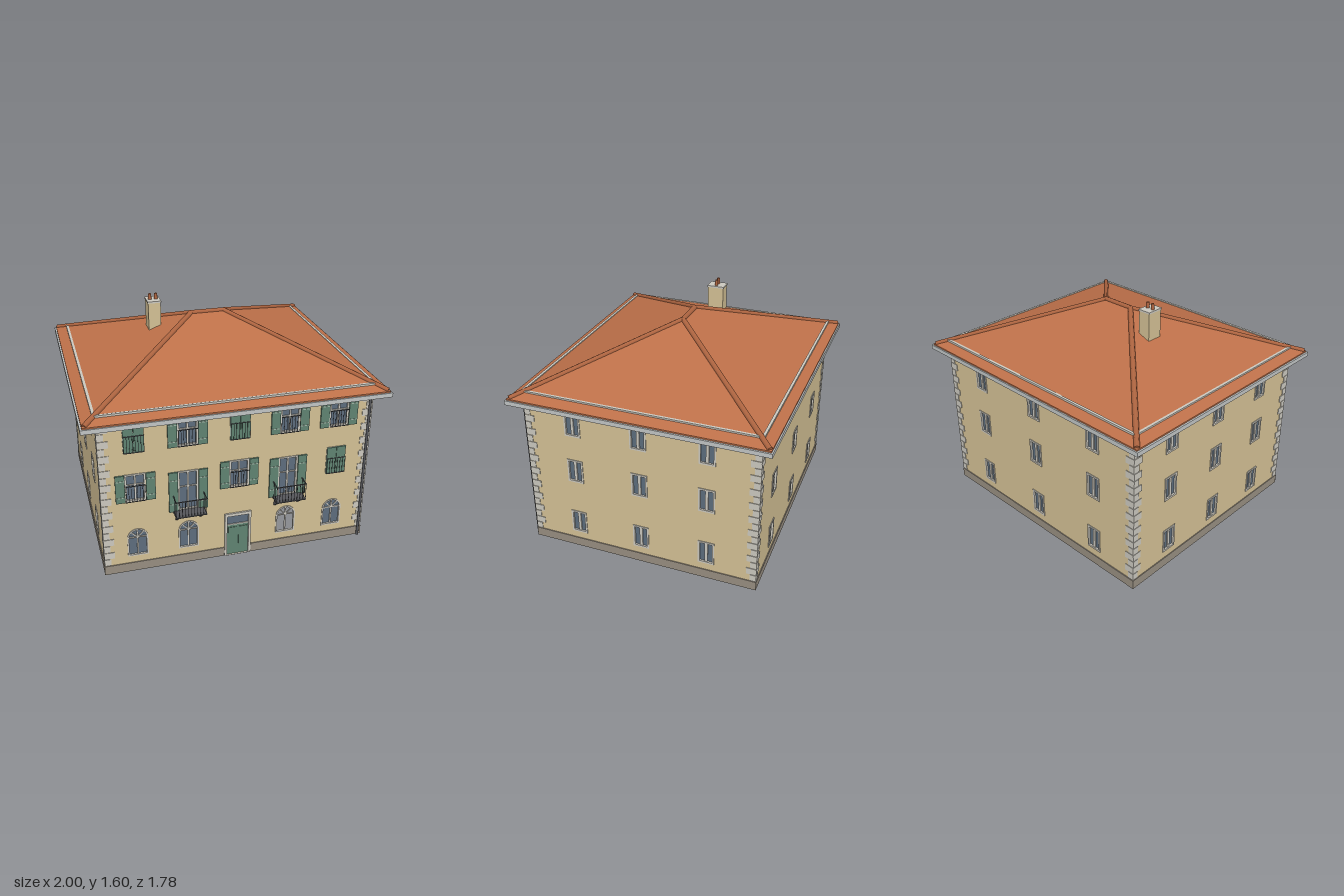
import * as THREE from 'three';

const paint = (name, color) => {
  const m = new THREE.MeshStandardMaterial({ color });
  m.name = name;
  return m;
};
const W = 0.9, ZC = -0.005, D = 0.8, TOP = 1.1;   // half width, centre z, half depth, wall top
const EAVE = 1.135, RIDGE = 1.472, RX = 0.115;

export function createModel() {
  const wallMat = paint('wall plaster', 0xd2bf94), trim = paint('pale stone', 0xcac7be);
  const roofMat = paint('roof tile', 0xbd7049), capMat = paint('ridge tile', 0xad6440);
  const plinthMat = paint('plinth stone', 0x968d80), glass = paint('glass', 0x5c6c7c);
  const green = paint('shutter green', 0x5f8270), paleGreen = paint('pale green', 0x9db3a4);
  const metal = paint('dark iron', 0x55565a), zinc = paint('zinc', 0xc0c4c4);
  roofMat.side = THREE.DoubleSide;

  const house = new THREE.Group();
  house.name = 'house';

  function add(parent, name, geo, mat, x = 0, y = 0, z = 0) {
    const m = new THREE.Mesh(geo, mat);
    m.name = name;
    m.position.set(x, y, z);
    parent.add(m);
    return m;
  }
  const box = (p, name, mat, w, h, d, x, y, z) => add(p, name, new THREE.BoxGeometry(w, h, d), mat, x, y, z);

  // Outline of an opening, optionally with a round arch on top
  function outline(x, y, w, h, arch, inset = 0) {
    const r = w / 2 - inset, b = y + inset, t = y + h - inset;
    const pts = [[x - r, b], [x + r, b]];
    if (arch) {
      for (let i = 0; i <= 16; i++) {
        const a = Math.PI * i / 16;
        pts.push([x + r * Math.cos(a), t - r + r * Math.sin(a)]);
      }
    } else pts.push([x + r, t], [x - r, t]);
    return pts.map(p => new THREE.Vector2(...p));
  }
  const extrude = (shape, depth) => new THREE.ExtrudeGeometry(shape, { depth, bevelEnabled: false });

  // One facade in local space: x along the wall, z outward
  function facade(name, half, angle, x, z) {
    const g = new THREE.Group();
    g.name = name;
    g.rotation.y = angle;
    g.position.set(x, 0, z);
    house.add(g);
    return { g, half, holes: [] };
  }
  function finishWall(f) {
    const s = new THREE.Shape(outline(0, 0, f.half * 2, TOP));
    s.holes = f.holes.map(p => new THREE.Path(p));
    add(f.g, 'wall', extrude(s, 0.012), wallMat, 0, 0, -0.012);
    // Corner stones, alternately long and short
    const n = 20, h = (1.095 - 0.068) / n;
    for (const side of [-1, 1]) for (let i = 0; i < n; i++) {
      const w = i % 2 ? 0.068 : 0.042;
      box(f.g, 'cornerStone', trim, w, h - 0.004, 0.008, side * (f.half - w / 2 + 0.003), 0.068 + (i + 0.5) * h, 0);
    }
  }

  function windowUnit(f, x, y, w, h, { arch = false, glazed = true, border = 0.011, bar = 0.012, transom = 0 } = {}) {
    f.holes.push(outline(x, y, w, h, arch));
    const ring = new THREE.Shape(outline(x, y, w, h, arch));
    ring.holes.push(new THREE.Path(outline(x, y, w, h, arch, border)));
    add(f.g, 'windowFrame', extrude(ring, 0.016), trim, 0, 0, -0.011);
    if (glazed) add(f.g, 'pane', extrude(new THREE.Shape(outline(x, y, w, h, arch, 0.002)), 0.003), glass, 0, 0, -0.011);
    const tall = arch ? h - w / 2 : h;
    box(f.g, 'mullion', trim, bar, h - 0.01, 0.008, x, y + h / 2, -0.004);
    if (transom || arch) box(f.g, 'transom', trim, w - 0.01, 0.008, 0.007, x, y + (arch ? tall : h * transom), -0.004);
    if (arch) for (const s of [-1, 1]) {
      const r = w / 2, c = Math.SQRT1_2 * r / 2;
      box(f.g, 'fanBar', trim, 0.007, r * 0.95, 0.006, x + s * c, y + tall + c, -0.004).rotation.z = -s * Math.PI / 4;
    }
  }

  function shutter(f, x, y, w, h) {
    box(f.g, 'shutter', green, w, h, 0.01, x, y + h / 2, 0.007);
    for (const k of [0.2, 0.8]) box(f.g, 'shutterBatten', paleGreen, w, 0.006, 0.003, x, y + h * k, 0.0125);
  }
  function windowRail(f, x, y) {
    for (const dy of [0.006, 0.12]) box(f.g, 'windowRail', metal, 0.13, 0.004, 0.004, x, y + dy, 0.02);
    for (let i = 0; i < 8; i++) box(f.g, 'railBar', metal, 0.0025, 0.114, 0.0025, x - 0.063 + i * 0.018, y + 0.063, 0.02);
  }

  // Front facade
  const front = facade('frontFacade', W, 0, 0, ZC + D);
  const cols = [-0.68, -0.34, 0, 0.335, 0.67];
  function shutteredWindow(x, y, h, closed, rail) {
    windowUnit(front, x, y, 0.132, h, { transom: 0.6 });
    if (closed) for (const s of [-1, 1]) box(front.g, 'closedShutter', green, 0.064, h, 0.01, x + s * 0.033, y + h / 2, 0.007);
    else for (const s of [-1, 1]) shutter(front, x + s * 0.098, y, 0.06, h);
    if (rail) windowRail(front, x, y);
  }
  cols.forEach((x, i) => {
    shutteredWindow(x, 0.893, 0.195, i === 0 || i === 2, true);
    const balcony = i === 1 || i === 3;
    if (balcony) {
      shutteredWindow(x, 0.417, 0.294, false, false);
      addBalcony(x);
    } else shutteredWindow(x, 0.54, 0.198, i === 4, true);
    if (i !== 2) windowUnit(front, x, 0.118, 0.136, 0.208, { arch: true, glazed: i !== 3, border: 0.01, bar: 0.01 });
  });

  // Balcony: thin floor, iron railing and two wedge brackets
  function addBalcony(x) {
    const b = new THREE.Group();
    b.name = 'balcony';
    b.position.x = x;
    front.g.add(b);
    box(b, 'balconyFloor', metal, 0.205, 0.007, 0.092, 0, 0.42, 0.047);
    box(b, 'frontRail', metal, 0.205, 0.006, 0.005, 0, 0.538, 0.091);
    for (let i = 0; i <= 10; i++) box(b, 'baluster', metal, 0.003, 0.115, 0.003, -0.1 + i * 0.02, 0.48, 0.091);
    for (const s of [-1, 1]) {
      box(b, 'sideRail', metal, 0.005, 0.006, 0.09, s * 0.1, 0.538, 0.047);
      for (const z of [0.004, 0.033, 0.062]) box(b, 'sideBaluster', metal, 0.003, 0.115, 0.003, s * 0.1, 0.48, z);
      const wedge = new THREE.Shape([[0, 0.345], [0, 0.4], [-0.068, 0.4]].map(p => new THREE.Vector2(...p)));
      add(b, 'bracket', extrude(wedge, 0.014).rotateY(Math.PI / 2), metal, s * 0.08 - 0.007, 0, 0);
    }
  }

  // Entrance door with glazed transom
  front.holes.push(outline(-0.003, 0.001, 0.17, 0.325));
  const doorRing = new THREE.Shape(outline(-0.003, 0, 0.182, 0.335));
  doorRing.holes.push(new THREE.Path(outline(-0.003, 0.001, 0.15, 0.312)));
  add(front.g, 'doorFrame', extrude(doorRing, 0.022), trim, 0, 0, -0.01);
  box(front.g, 'door', green, 0.15, 0.24, 0.008, -0.003, 0.121, -0.006);
  for (const s of [-1, 1]) box(front.g, 'doorPanel', green, 0.058, 0.2, 0.004, -0.003 + s * 0.036, 0.12, 0);
  box(front.g, 'doorTransom', trim, 0.15, 0.008, 0.012, -0.003, 0.243, -0.003);
  box(front.g, 'doorLight', glass, 0.15, 0.07, 0.004, -0.003, 0.279, -0.006);
  finishWall(front);

  // Side and back facades share a three by three window layout
  const others = [
    [facade('leftFacade', D, Math.PI / 2, W, ZC), 0.46],
    [facade('rightFacade', D, -Math.PI / 2, -W, ZC), 0.46],
    [facade('backFacade', W, Math.PI, 0, ZC - D), 0.55],
  ];
  for (const [f, gap] of others) {
    for (const x of [-gap, 0, gap]) for (const y of [0.12, 0.535, 0.89])
      windowUnit(f, x, y, 0.112, 0.174, { border: 0.013, bar: 0.02 });
    box(f.g, 'plinth', plinthMat, f.half * 2 + 0.01, 0.066, 0.008, 0, 0.033, 0.002);
    finishWall(f);
  }
  for (const s of [-1, 1]) box(front.g, 'plinth', plinthMat, 0.811, 0.066, 0.008, s * 0.4995 - 0.0015, 0.033, 0.002);

  // Downpipe on the front corner
  add(house, 'downpipe', new THREE.CylinderGeometry(0.009, 0.009, 1.1, 10), metal, 0.88, 0.55, ZC + D + 0.013);

  // Eaves: horizontal rings around the walls
  function ring(name, mat, hx, hz, y, h) {
    const s = new THREE.Shape(outline(0, -hz, hx * 2, hz * 2));
    s.holes.push(new THREE.Path(outline(0, -D + 0.005, W * 2 - 0.01, D * 2 - 0.01)));
    add(house, name, extrude(s, h).rotateX(-Math.PI / 2), mat, 0, y, ZC - 0.0025);
  }
  ring('eavesCornice', zinc, 1, 0.882, 1.095, 0.03);
  ring('roofEdge', roofMat, 0.988, 0.873, 1.122, 0.0125);

  // Hipped roof
  const roof = new THREE.Group();
  roof.name = 'roof';
  roof.position.z = ZC - 0.0025;
  house.add(roof);
  const EX = 0.988, EZ = 0.873;
  const A = [-EX, EAVE, EZ], B = [EX, EAVE, EZ], C = [EX, EAVE, -EZ], E = [-EX, EAVE, -EZ];
  const L = [-RX, RIDGE, 0], R = [RX, RIDGE, 0];
  const slopes = new THREE.BufferGeometry();
  slopes.setAttribute('position', new THREE.Float32BufferAttribute(
    [A, B, R, A, R, L, B, C, R, C, E, L, C, L, R, E, A, L].flat(), 3));
  slopes.computeVertexNormals();
  add(roof, 'roofSlopes', slopes, roofMat);

  // Ridge and hip caps
  for (const [p, q] of [[L, R], [A, L], [E, L], [B, R], [C, R]]) {
    const a = new THREE.Vector3(...p), b = new THREE.Vector3(...q);
    if (p !== L) a.lerp(b, 0.015);
    const cap = add(roof, 'ridgeCap', new THREE.CylinderGeometry(0.018, 0.018, a.distanceTo(b), 8), capMat);
    cap.position.copy(a).lerp(b, 0.5).setY((a.y + b.y) / 2 - 0.004);
    cap.quaternion.setFromUnitVectors(new THREE.Vector3(0, 1, 0), b.clone().sub(a).normalize());
  }

  // Snow guard rails
  for (const s of [-1, 1]) {
    box(roof, 'snowGuard', trim, 1.83, 0.014, 0.018, 0, 1.166, s * 0.8);
    box(roof, 'snowGuard', trim, 0.018, 0.014, 1.6, s * 0.908, 1.166, 0);
  }

  // Chimney with two pots
  const chimney = new THREE.Group();
  chimney.name = 'chimney';
  chimney.position.set(-0.364, 0, -0.088);
  house.add(chimney);
  box(chimney, 'chimneyStack', wallMat, 0.086, 0.24, 0.112, 0, 1.433, 0);
  box(chimney, 'chimneyCap', trim, 0.094, 0.012, 0.12, 0, 1.556, 0);
  for (const s of [-1, 1])
    add(chimney, 'chimneyPot', new THREE.CylinderGeometry(0.01, 0.012, 0.042, 12), capMat, s * 0.021, 1.58, 0);

  return house;
}
